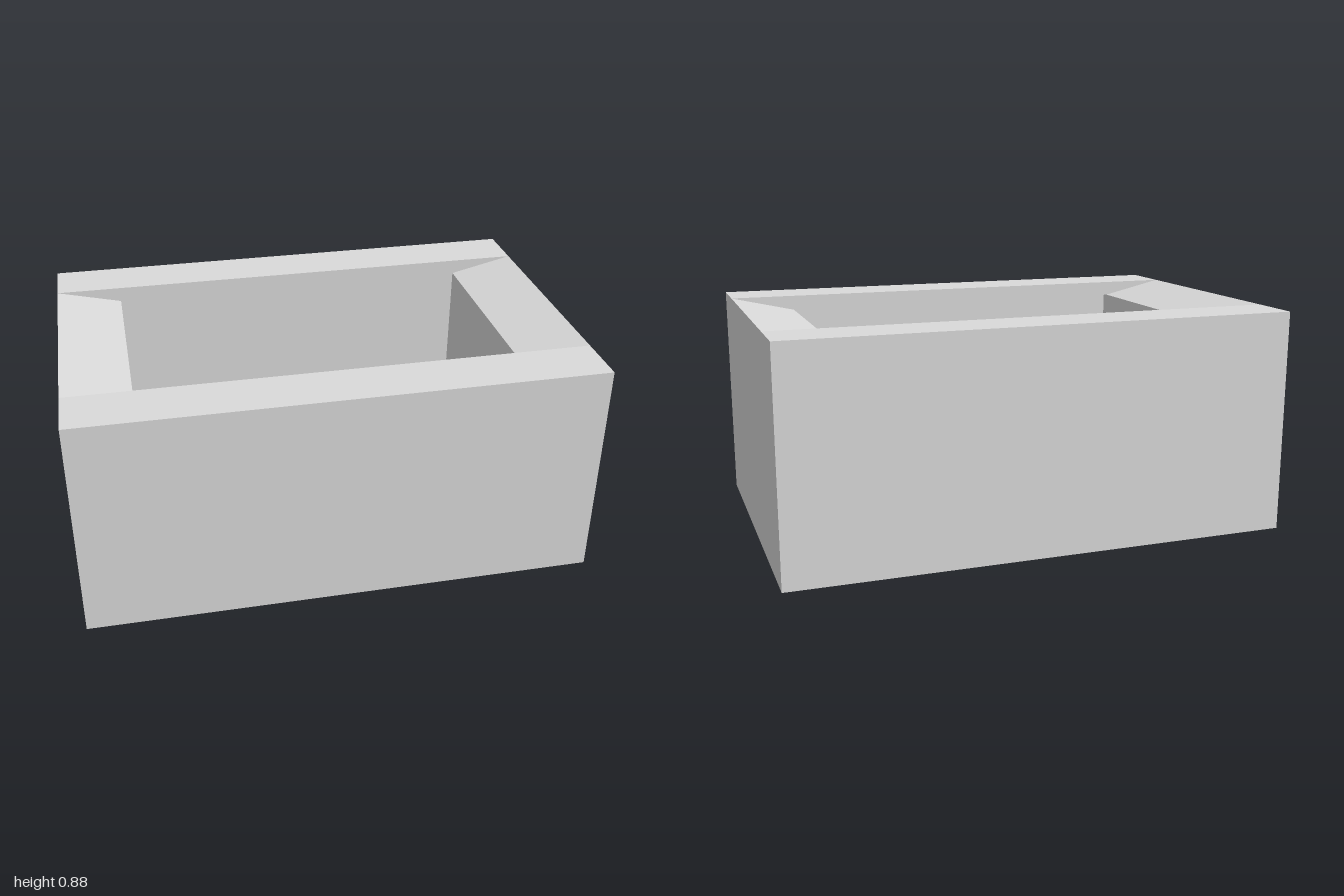
import * as THREE from 'three';

const W = 1, D = 0.66, H = 0.885;         // half width, half depth, height
const LIP = 0.06;                         // height of the lips above and below the core
const IX = 0.74, ZF = 0.442, ZB = -0.45;  // opening edges
const CX = 0.8, CZ = 0.6;                 // undercut inside corners behind the lips

function shape(points) {
  return new THREE.Shape(points.map(([x, y]) => new THREE.Vector2(x, y)));
}

export function createModel() {
  const group = new THREE.Group();
  const grey = new THREE.MeshStandardMaterial({ color: 0xdadada });
  grey.name = 'light grey';

  const add = (name, geometry) => {
    const mesh = new THREE.Mesh(geometry, grey);
    mesh.name = name;
    group.add(mesh);
    return mesh;
  };

  // Hollow core: thin front and back walls, thick ends that flare out at the corners
  const ring = shape([[-W, -D], [W, -D], [W, D], [-W, D]]);
  ring.holes.push(shape([
    [-IX, -ZF], [-IX, -ZB], [-CX, CZ], [CX, CZ],
    [IX, -ZB], [IX, -ZF], [CX, -CZ], [-CX, -CZ],
  ]));
  const core = new THREE.ExtrudeGeometry(ring, { depth: H - 2 * LIP, bevelEnabled: false });
  core.rotateX(-Math.PI / 2).translate(0, LIP, 0);
  add('wallRing', core);

  for (const top of [true, false]) {
    const level = top ? 'upper' : 'lower';
    // Flat lips along the front and back, overhanging the inner wall
    for (const [side, z0, z1] of [['Front', ZF, D], ['Back', -D, ZB]]) {
      const lip = add(`${level}${side}Lip`, new THREE.BoxGeometry(2 * W, LIP, z1 - z0));
      lip.position.set(0, top ? H - LIP / 2 : LIP / 2, (z0 + z1) / 2);
    }
    // Ends sloping from the outer edge towards the opening
    const outer = top ? H : 0;
    const inner = top ? H - LIP : LIP;
    for (const s of [1, -1]) {
      const wedge = new THREE.ExtrudeGeometry(
        shape([[s * W, outer], [s * W, inner], [s * IX, inner]]),
        { depth: ZF - ZB, bevelEnabled: false });
      wedge.translate(0, 0, ZB);
      add(`${level}${s > 0 ? 'Left' : 'Right'}SlopedEnd`, wedge);
    }
  }
  return group;
}
